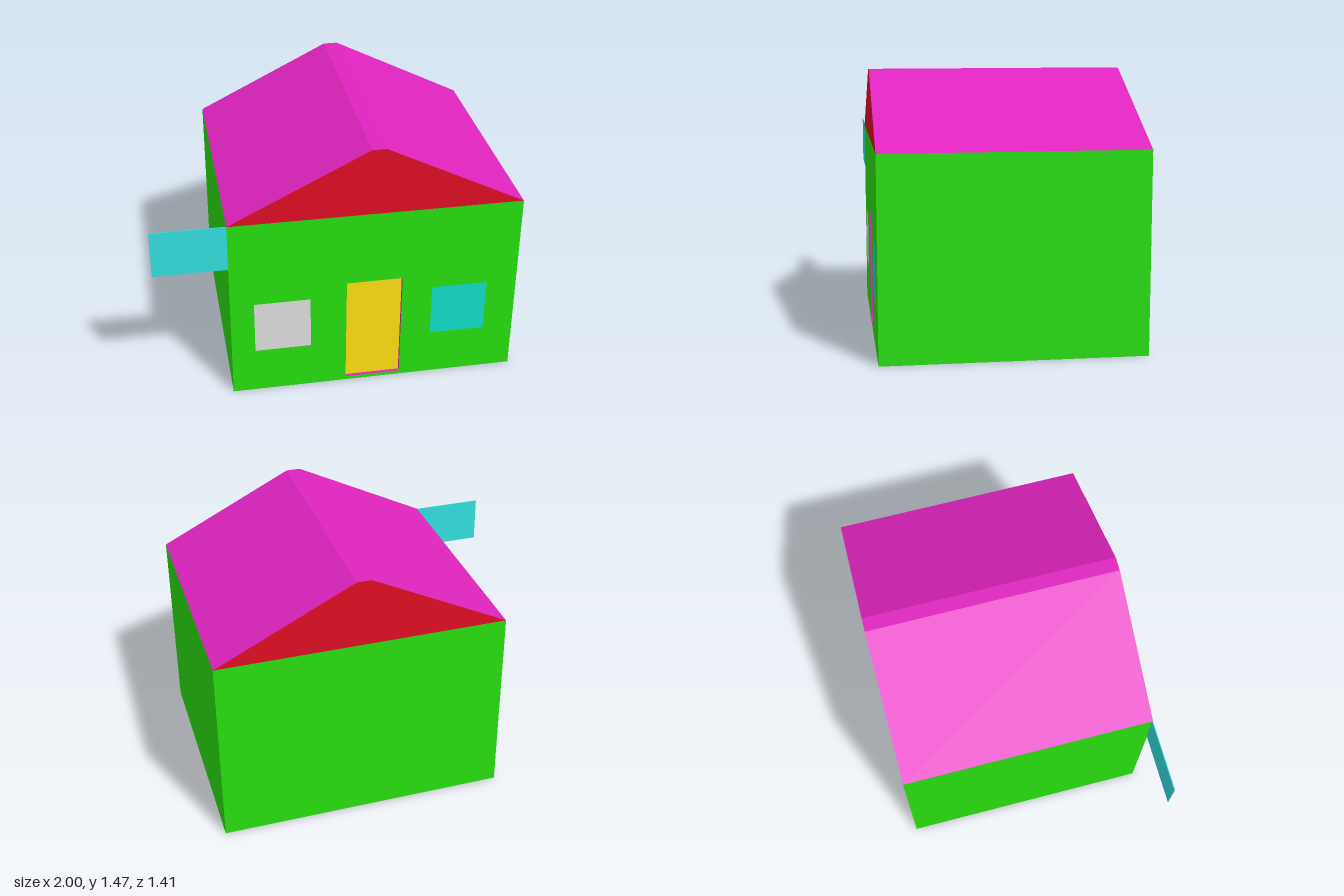
import * as THREE from 'three';

const mat = (name, color, side = THREE.FrontSide) => {
  const m = new THREE.MeshStandardMaterial({ color, side });
  m.name = name;
  return m;
};

export function createModel() {
  const green = mat('wall green', 0x28de10);
  const red = mat('gable red', 0xde0e24);
  const magenta = mat('roof magenta', 0xde24be, THREE.DoubleSide);
  const grey = mat('plain grey', 0xdedede);
  const yellow = mat('floor yellow', 0xdfc310);
  const cyan = mat('sign cyan', 0x33dede);
  const teal = mat('window teal', 0x12dec8);

  const house = new THREE.Group();
  house.name = 'house';
  const L = -0.6, R = 1, D = 0.705, H = 1.085, top = 1.465, gap = 0.003;
  const mid = (L + R) / 2, W = R - L;

  const add = (name, geo, material, x = 0, y = 0, z = 0, rx = 0, ry = 0) => {
    const m = new THREE.Mesh(geo, material);
    m.name = name;
    m.position.set(x, y, z);
    m.rotation.set(rx, ry, 0);
    house.add(m);
    return m;
  };
  // same outline facing the other way
  const flipped = (geo) => {
    const g = geo.clone();
    g.index.array.reverse();
    const n = g.attributes.normal;
    for (let i = 0; i < n.count; i++) n.setZ(i, -n.getZ(i));
    return g;
  };
  const shape = (pts) => new THREE.Shape(pts.map(([x, y]) => new THREE.Vector2(x, y)));

  // front wall with the door opening
  const dl = 0.04, dr = 0.35, db = 0.02, dt = 0.66;
  const front = shape([[L, 0], [R, 0], [R, H], [L, H]]);
  front.holes.push(shape([[dl, db], [dl, dt], [dr, dt], [dr, db]]));
  const frontGeo = new THREE.ShapeGeometry(front);
  add('frontWall', frontGeo, green, 0, 0, D);
  add('frontWallInside', flipped(frontGeo), grey, 0, 0, D - gap);

  // back and side walls, green outside and grey inside
  const wide = new THREE.PlaneGeometry(W, H), deep = new THREE.PlaneGeometry(2 * D, H);
  add('backWall', wide, green, mid, H / 2, -D, 0, Math.PI);
  add('backWallInside', wide, grey, mid, H / 2, -D + gap);
  for (const [side, x, s] of [['left', R, 1], ['right', L, -1]]) {
    add(side + 'Wall', deep, green, x, H / 2, 0, 0, s * Math.PI / 2);
    add(side + 'WallInside', deep, grey, x - s * gap, H / 2, 0, 0, -s * Math.PI / 2);
  }

  // floor, underside and ceiling
  const slab = new THREE.PlaneGeometry(W, 2 * D);
  add('underside', slab, grey, mid, 0, 0, Math.PI / 2);
  add('floor', slab, yellow, mid, gap, 0, -Math.PI / 2);
  add('ceiling', slab, grey, mid, H - gap, 0, Math.PI / 2);

  // gables
  const profile = [[L, H], [R, H], [0.24, top], [0.16, top]];
  const gable = new THREE.ShapeGeometry(shape(profile));
  add('frontGable', gable, red, 0, 0, D);
  add('backGable', flipped(gable), red, 0, 0, -D);

  // roof: two slopes and a narrow flat ridge
  const slopes = [profile[1], profile[2], profile[3], profile[0]];
  ['roofLeft', 'roofRidge', 'roofRight'].forEach((name, i) => {
    const [ax, ay] = slopes[i], [bx, by] = slopes[i + 1];
    const g = new THREE.BufferGeometry();
    g.setAttribute('position', new THREE.Float32BufferAttribute(
      [ax, ay, D, ax, ay, -D, bx, by, -D, bx, by, D], 3));
    g.setIndex([0, 1, 2, 0, 2, 3]);
    g.computeVertexNormals();
    add(name, g, magenta);
  });

  // shallow door reveal
  const t = 0.02, dz = D - t / 2, dw = dr - dl, dh = dt - db;
  const jamb = new THREE.PlaneGeometry(t, dh), sill = new THREE.PlaneGeometry(dw, t);
  add('doorJambRight', jamb, magenta, dl, db + dh / 2, dz, 0, Math.PI / 2);
  add('doorJambLeft', jamb, magenta, dr, db + dh / 2, dz, 0, -Math.PI / 2);
  add('doorSill', sill, magenta, dl + dw / 2, db, dz, -Math.PI / 2);
  add('doorHead', sill, magenta, dl + dw / 2, dt, dz, Math.PI / 2);

  // windows
  const pane = new THREE.PlaneGeometry(0.31, 0.31);
  add('windowRight', pane, grey, -0.315, 0.425, D + 0.002);
  add('windowLeft', pane, teal, 0.675, 0.425, D + 0.002);

  // thin side sign
  add('sideSign', new THREE.BoxGeometry(0.4, 0.265, 0.005), cyan, -0.8, 0.9525, D - 0.003);

  return house;
}
